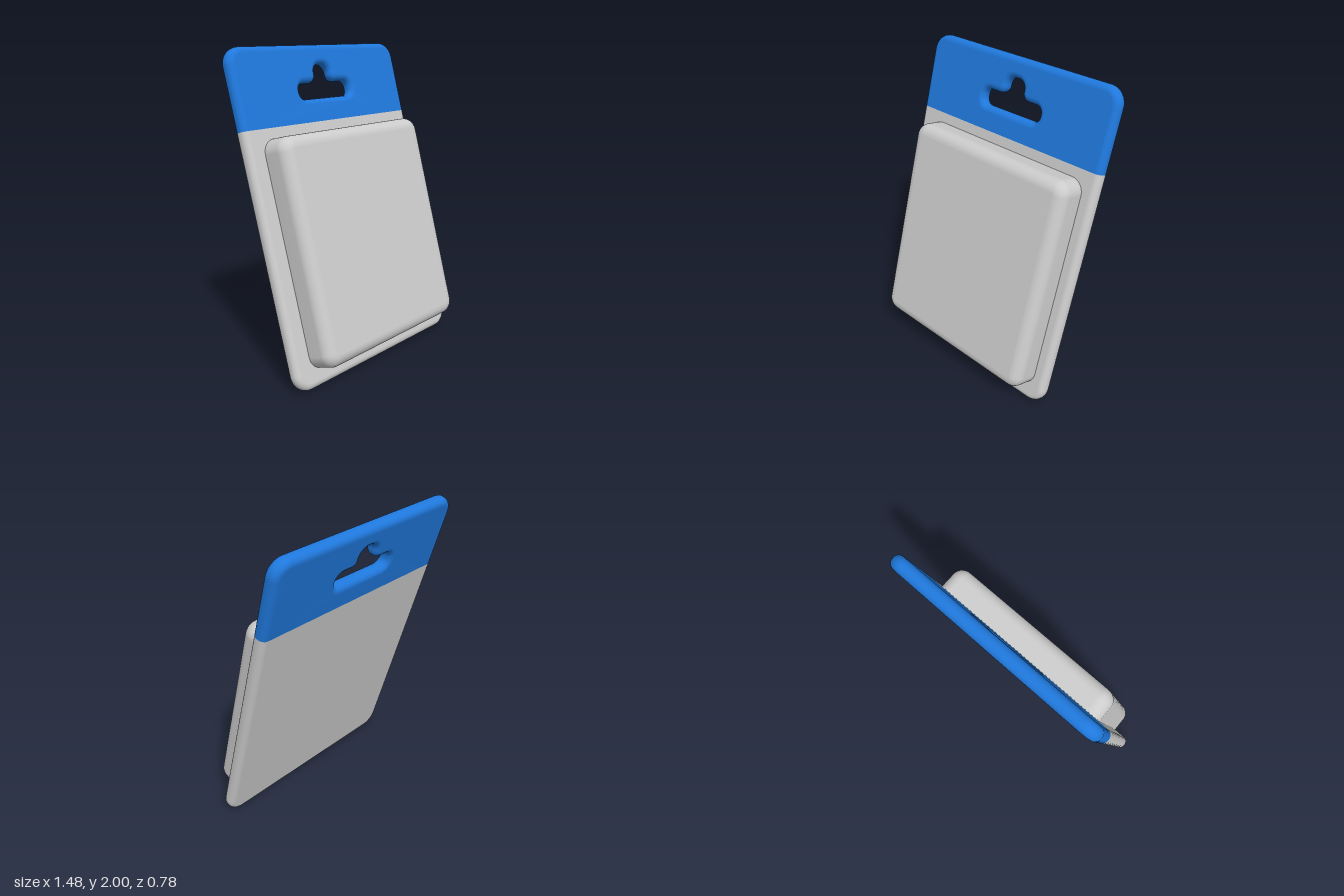
import * as THREE from 'three';
import { mergeVertices } from 'three/addons/utils/BufferGeometryUtils.js';

const HALF_W = 0.738, HALF_H = 1.0375, THICK = 0.09, BEVEL = 0.04, SEAM = 0.54;

// Closed outline from [x, y, cornerRadius] corners; each corner is rounded by a curve.
function roundedOutline(points, Type = THREE.Shape) {
  const path = new Type();
  const n = points.length;
  points.forEach(([x, y, r], i) => {
    const toward = ([px, py]) =>
      new THREE.Vector2(px - x, py - y).setLength(r).add(new THREE.Vector2(x, y));
    const a = toward(points[(i + n - 1) % n]);
    const b = toward(points[(i + 1) % n]);
    if (i === 0) path.moveTo(a.x, a.y); else path.lineTo(a.x, a.y);
    if (r > 0) {
      // Cubic handles that approximate a circular arc
      const k = 0.552;
      path.bezierCurveTo(
        a.x + (x - a.x) * k, a.y + (y - a.y) * k,
        b.x + (x - b.x) * k, b.y + (y - b.y) * k, b.x, b.y);
    }
  });
  path.closePath();
  return path;
}

// Extrusion with rounded rims, from z0 to z1, the outline being its widest section.
function pillow(shape, z0, z1, bevel) {
  const geo = new THREE.ExtrudeGeometry(shape, {
    depth: z1 - z0 - 2 * bevel, bevelThickness: bevel, bevelSize: bevel,
    bevelOffset: -bevel, bevelSegments: 7, curveSegments: 8,
  });
  return geo.translate(0, 0, z0 + bevel);
}

// Smooth, area-weighted normals; triangles lying in the seam plane are dropped.
function smooth(geo, seam = null) {
  geo.deleteAttribute('normal');
  geo.deleteAttribute('uv');
  const merged = mergeVertices(geo, 1e-5);
  const pos = merged.attributes.position;
  const index = merged.index.array;
  const kept = [];
  for (let i = 0; i < index.length; i += 3) {
    const tri = [index[i], index[i + 1], index[i + 2]];
    const inSeam = seam !== null && tri.every((v) => Math.abs(pos.getY(v) - seam) < 1e-5);
    if (!inSeam) kept.push(...tri);
  }
  merged.setIndex(kept);
  merged.computeVertexNormals();
  return merged;
}

// One half of the card: drawn past the seam, then cut flat there.
function cardPart(shape, side) {
  const geo = pillow(shape, -THICK / 2, THICK / 2, BEVEL);
  const pos = geo.attributes.position;
  for (let i = 0; i < pos.count; i++) {
    const y = pos.getY(i);
    pos.setY(i, side > 0 ? Math.max(y, SEAM) : Math.min(y, SEAM));
  }
  return smooth(geo, SEAM);
}

function addMesh(parent, name, geometry, color) {
  const mesh = new THREE.Mesh(geometry, new THREE.MeshStandardMaterial({ color }));
  mesh.name = name;
  parent.add(mesh);
}

export function createModel() {
  const model = new THREE.Group();
  model.name = 'blisterPack';
  const pack = new THREE.Group();
  pack.name = 'leaningPack';

  // Lower backing card
  const lower = roundedOutline([
    [-HALF_W, -HALF_H, 0.11], [HALF_W, -HALF_H, 0.11],
    [HALF_W, SEAM + 0.06, 0], [-HALF_W, SEAM + 0.06, 0],
  ]);
  addMesh(pack, 'backingCard', cardPart(lower, -1), 0xcccccc);

  // Coloured header with the hanging slot
  const upper = roundedOutline([
    [-HALF_W, SEAM - 0.06, 0], [HALF_W, SEAM - 0.06, 0],
    [HALF_W, HALF_H, 0.11], [-HALF_W, HALF_H, 0.11],
  ]);
  upper.holes.push(roundedOutline([
    [-0.23, 0.69, 0.045], [0.228, 0.69, 0.045], [0.228, 0.792, 0.045],
    [0.068, 0.792, 0.05], [0.068, 0.907, 0.055], [-0.068, 0.907, 0.055],
    [-0.068, 0.792, 0.05], [-0.23, 0.792, 0.045],
  ], THREE.Path));
  addMesh(pack, 'hangingHeader', cardPart(upper, 1), 0x1f78dc);

  // Raised tray, narrowing slightly toward its front
  const tray = pillow(roundedOutline([
    [-0.635, -0.7025, 0.09], [0.635, -0.7025, 0.09],
    [0.635, 0.7025, 0.09], [-0.635, 0.7025, 0.09],
  ]), -0.035, 0.218, 0.07);
  const pos = tray.attributes.position;
  for (let i = 0; i < pos.count; i++) {
    const shrink = 1 - 0.06 * Math.max(0, pos.getZ(i) - 0.045);
    pos.setXY(i, pos.getX(i) * shrink, pos.getY(i) * shrink);
  }
  tray.translate(0.016, -0.2275, 0);
  addMesh(pack, 'blisterTray', smooth(tray), 0xcccccc);

  // The whole pack leans back
  pack.rotation.set(-0.2803, 0.007, 0, 'YXZ');
  pack.position.set(0, 1, -0.065);
  model.add(pack);
  return model;
}
